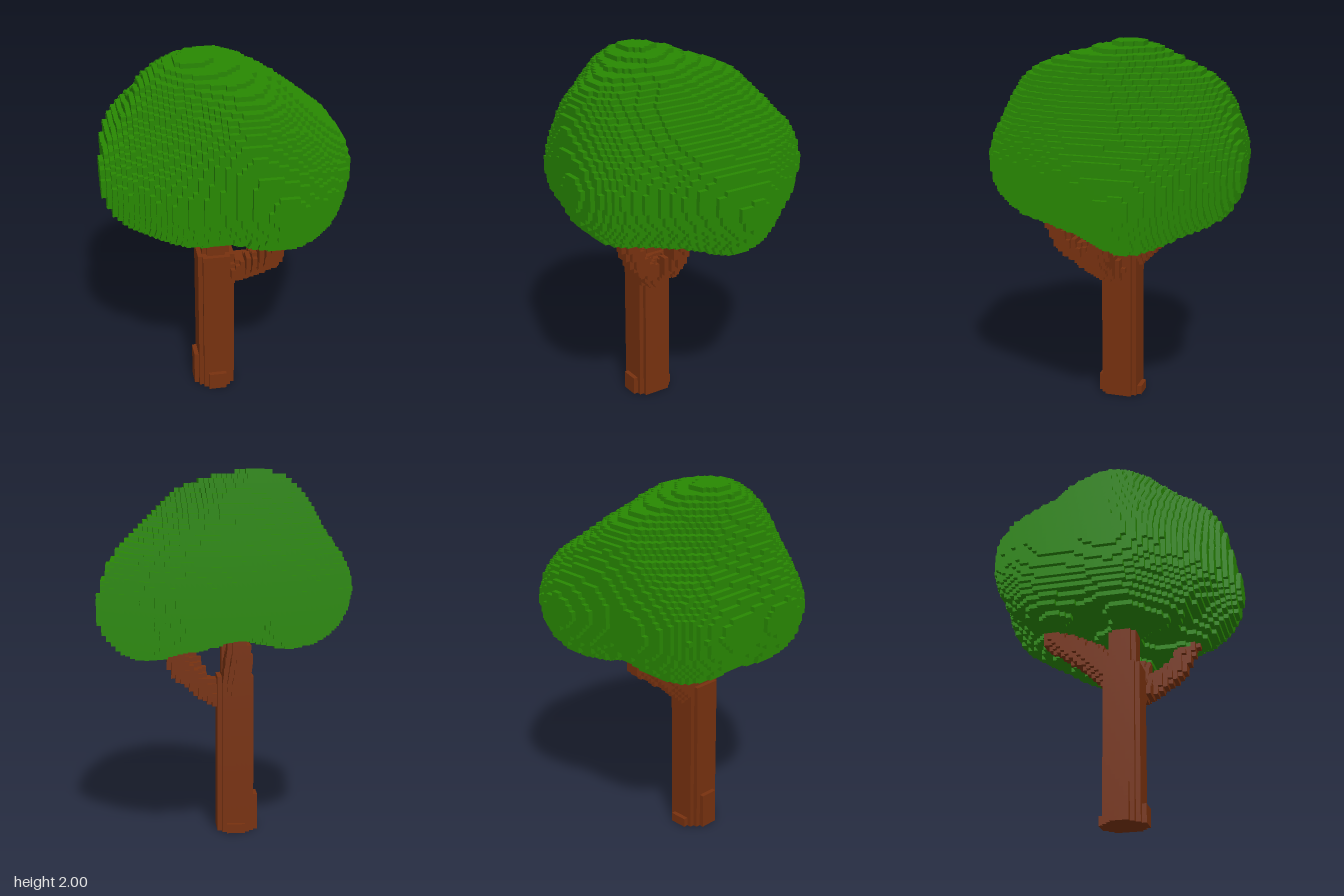
import * as THREE from 'three';

// Voxel grid: 80 cells high, 54 cells wide and deep
const CELL = 2 / 80, NX = 54, NY = 80, NZ = 54;

// Leaf masses: x, y, z, radius
const LEAF_BALLS = [
  [0, 1.45, 0, 0.36],            // core
  [-0.19, 1.7, 0.04, 0.30],      // peak
  [-0.24, 1.74, 0.04, 0.24],     // peak side
  [0.05, 1.65, 0.1, 0.30],       // ridge
  [0.05, 1.62, 0.32, 0.30],      // upper front
  [0.2, 1.41, 0.35, 0.325],      // front
  [0.405, 1.265, -0.12, 0.268],  // low side lobe
  [0.36, 1.35, -0.2, 0.285],     // side, towards the back
  [0.33, 1.38, 0.1, 0.30],       // side, towards the front
  [0.16, 1.5, 0.05, 0.34],       // shoulder
  [0.2, 1.4, -0.36, 0.315],      // back
  [-0.05, 1.58, -0.26, 0.32],    // upper back
  [-0.37, 1.39, 0.1, 0.308],     // opposite side
  [-0.335, 1.39, -0.28, 0.308],  // back corner
  [-0.2, 1.38, 0.25, 0.30],      // front corner
];

// Evenly spread directions, each with the furthest reach of the leaf masses
const HULL_PLANES = Array.from({ length: 400 }, (_, i) => {
  const y = 1 - (2 * i + 1) / 400, r = Math.sqrt(1 - y * y), a = i * 2.399963;
  const n = [r * Math.cos(a), y, r * Math.sin(a)];
  const reach = Math.max(...LEAF_BALLS.map((b) => n[0] * b[0] + n[1] * b[1] + n[2] * b[2] + b[3]));
  return [...n, reach];
});

// Branch segments: start, end, start radius, end radius
const BRANCHES = [
  [[-0.05, 0.745, 0.06], [0.1, 0.8, 0.12], 0.085, 0.065],
  [[0.1, 0.8, 0.12], [0.19, 0.95, 0.29], 0.065, 0.058],
  [[0.19, 0.95, 0.29], [0.195, 1.15, 0.39], 0.058, 0.052],
  [[0.1, 0.8, 0.12], [0.22, 0.9, 0.09], 0.062, 0.06],
  [[0.22, 0.9, 0.09], [0.28, 1.04, 0.06], 0.06, 0.052],
  [[-0.08, 0.8, 0.03], [-0.08, 0.94, -0.11], 0.08, 0.08],
  [[-0.08, 0.94, -0.11], [-0.06, 1.09, -0.35], 0.08, 0.055],
].map(([a, b, ra, rb]) => ({ a: new THREE.Vector3(...a), b: new THREE.Vector3(...b), ra, rb }));

// Smooth union, so neighbouring masses blend
function smoothMin(a, b, k) {
  const h = Math.max(k - Math.abs(a - b), 0) / k;
  return Math.min(a, b) - h * h * k / 4;
}

// Mix of the convex wrap and the lumps: shallow hollows above, deeper ones underneath
function inLeaves(p) {
  let hull = -10, lumps = 10;
  for (const [x, y, z, reach] of HULL_PLANES) {
    hull = Math.max(hull, p.x * x + p.y * y + p.z * z - reach);
  }
  if (hull > 0) return false;
  for (const [x, y, z, r] of LEAF_BALLS) {
    lumps = smoothMin(lumps, Math.hypot(p.x - x, p.y - y, p.z - z) - r, 0.1);
  }
  const wrap = 0.25 + 0.45 * THREE.MathUtils.smoothstep(p.y, 1.05, 1.25);
  return wrap * hull + (1 - wrap) * lumps < 0;
}

const axis = new THREE.Vector3(), offset = new THREE.Vector3();
function inBranch(p, { a, b, ra, rb }) {
  axis.subVectors(b, a);
  offset.subVectors(p, a);
  const t = THREE.MathUtils.clamp(offset.dot(axis) / axis.lengthSq(), 0, 1);
  return offset.addScaledVector(axis, -t).length() < ra + (rb - ra) * t;
}

function inWood(p) {
  // Trunk narrows above the fork and spreads into small roots at the ground
  if (p.y < 1.2) {
    const r = p.y > 0.875 ? 0.075 : 0.1;
    const dx = Math.abs(p.x + 0.075), dz = Math.abs(p.z - 0.05);
    if (Math.max(dx, dz) < r && dx + dz < r * 1.55) return true;
    if (p.y < 0.2 && p.x < -0.075 && dx < 0.125 && dz < 0.04) return true;
    if (p.y < (p.z > 0.05 ? 0.1 : 0.05) && dz < 0.125 && dx < 0.04) return true;
  }
  return BRANCHES.some((branch) => inBranch(p, branch));
}

// Fill the grid: 0 empty, 1 leaves, 2 wood
function fillGrid() {
  const grid = new Uint8Array(NX * NY * NZ);
  const p = new THREE.Vector3();
  for (let i = 0; i < NX; i++)
    for (let j = 0; j < NY; j++)
      for (let k = 0; k < NZ; k++) {
        p.set(i + 0.5 - NX / 2, j + 0.5, k + 0.5 - NZ / 2).multiplyScalar(CELL);
        grid[(i * NY + j) * NZ + k] = p.y > 0.99 && inLeaves(p) ? 1 : inWood(p) ? 2 : 0;
      }
  return (i, j, k) =>
    i < 0 || j < 0 || k < 0 || i >= NX || j >= NY || k >= NZ ? 0 : grid[(i * NY + j) * NZ + k];
}

// One quad for every cell side that faces empty space
function voxelMesh(cellAt, kind, name, color) {
  const positions = [], normals = [], indices = [];
  const corners = [[0, 0], [1, 0], [1, 1], [0, 1]];
  for (let i = 0; i < NX; i++)
    for (let j = 0; j < NY; j++)
      for (let k = 0; k < NZ; k++) {
        if (cellAt(i, j, k) !== kind) continue;
        for (let a = 0; a < 3; a++)
          for (const s of [-1, 1]) {
            const n = [0, 0, 0];
            n[a] = s;
            if (cellAt(i + n[0], j + n[1], k + n[2])) continue;
            const v = positions.length / 3;
            for (const [cu, cv] of corners) {
              const c = [i, j, k];
              c[a] += s > 0 ? 1 : 0;
              c[(a + 1) % 3] += cu;
              c[(a + 2) % 3] += cv;
              positions.push((c[0] - NX / 2) * CELL, c[1] * CELL, (c[2] - NZ / 2) * CELL);
              normals.push(...n);
            }
            if (s > 0) indices.push(v, v + 1, v + 2, v, v + 2, v + 3);
            else indices.push(v, v + 2, v + 1, v, v + 3, v + 2);
          }
      }
  const geometry = new THREE.BufferGeometry();
  geometry.setAttribute('position', new THREE.Float32BufferAttribute(positions, 3));
  geometry.setAttribute('normal', new THREE.Float32BufferAttribute(normals, 3));
  geometry.setIndex(indices);
  const mesh = new THREE.Mesh(geometry, new THREE.MeshStandardMaterial({ color }));
  mesh.name = name;
  return mesh;
}

export function createModel() {
  const tree = new THREE.Group();
  tree.name = 'tree';
  const cellAt = fillGrid();
  tree.add(voxelMesh(cellAt, 1, 'leafCrown', 0x288802));
  tree.add(voxelMesh(cellAt, 2, 'trunkAndBranches', 0x77310f));
  return tree;
}
